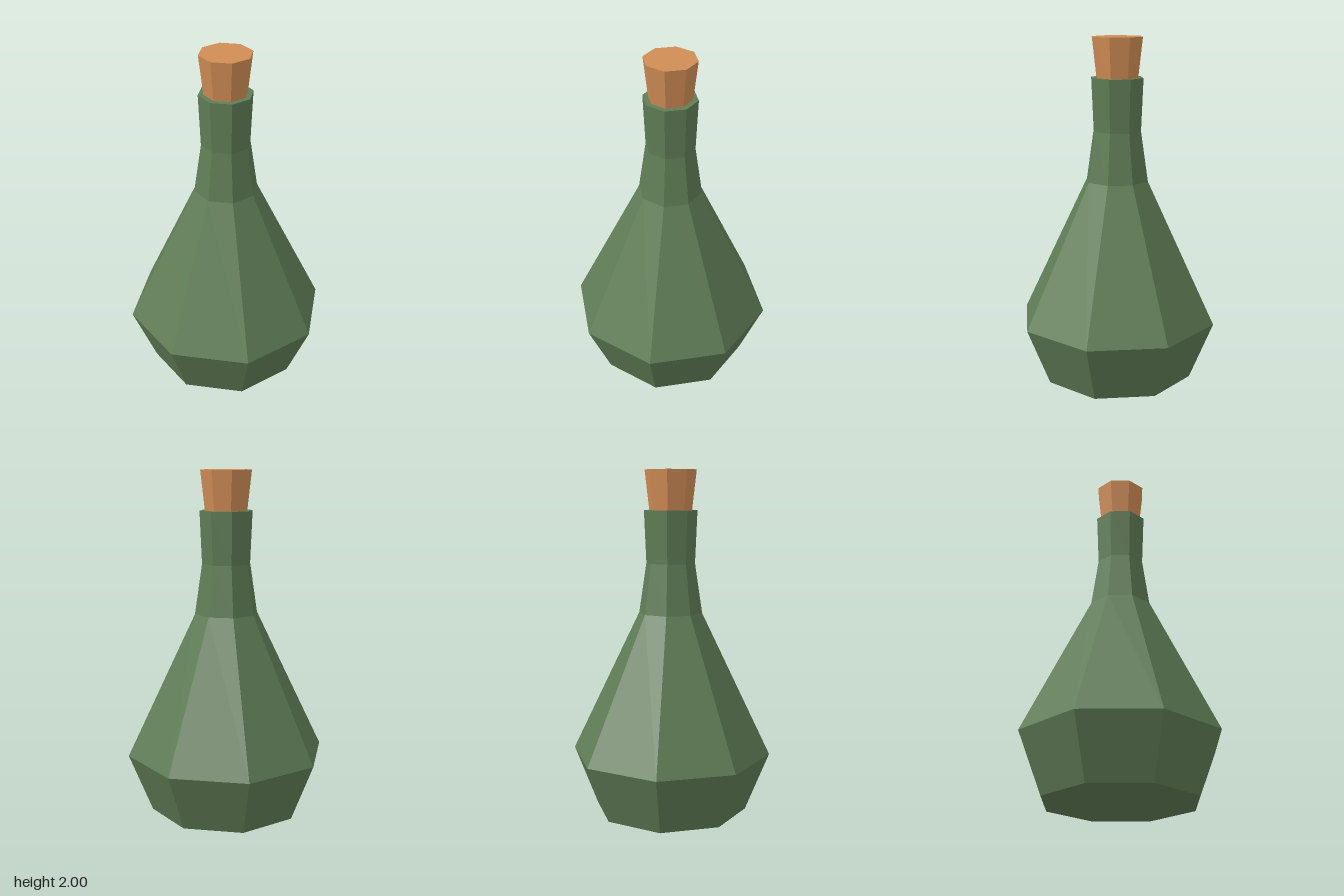
import * as THREE from 'three';

const SIDES = 8;

// Eight-sided solid turned around y from [radius, height] pairs, bottom to top
function turned(name, profile, material) {
  const points = profile.map(([r, y]) => new THREE.Vector2(r, y));
  const mesh = new THREE.Mesh(new THREE.LatheGeometry(points, SIDES), material);
  mesh.name = name;
  return mesh;
}

export function createModel() {
  const glass = new THREE.MeshStandardMaterial({ color: 0x607d56, flatShading: true });
  glass.name = 'green glass';
  const corkBrown = new THREE.MeshStandardMaterial({ color: 0xd08d56, flatShading: true });
  corkBrown.name = 'cork brown';

  const model = new THREE.Group();
  model.name = 'corkedBottle';

  // Bottle: base, wide belly, shoulder, narrow neck and flared lip
  model.add(turned('bottle', [
    [0, 0], [0.45, 0], [0.588, 0.345], [0.185, 1.18],
    [0.142, 1.47], [0.155, 1.772], [0, 1.772],
  ], glass));

  // Tapered stopper, sunk slightly into the neck
  model.add(turned('cork', [
    [0, 1.74], [0.12, 1.74], [0.15, 2], [0, 2],
  ], corkBrown));

  return model;
}
